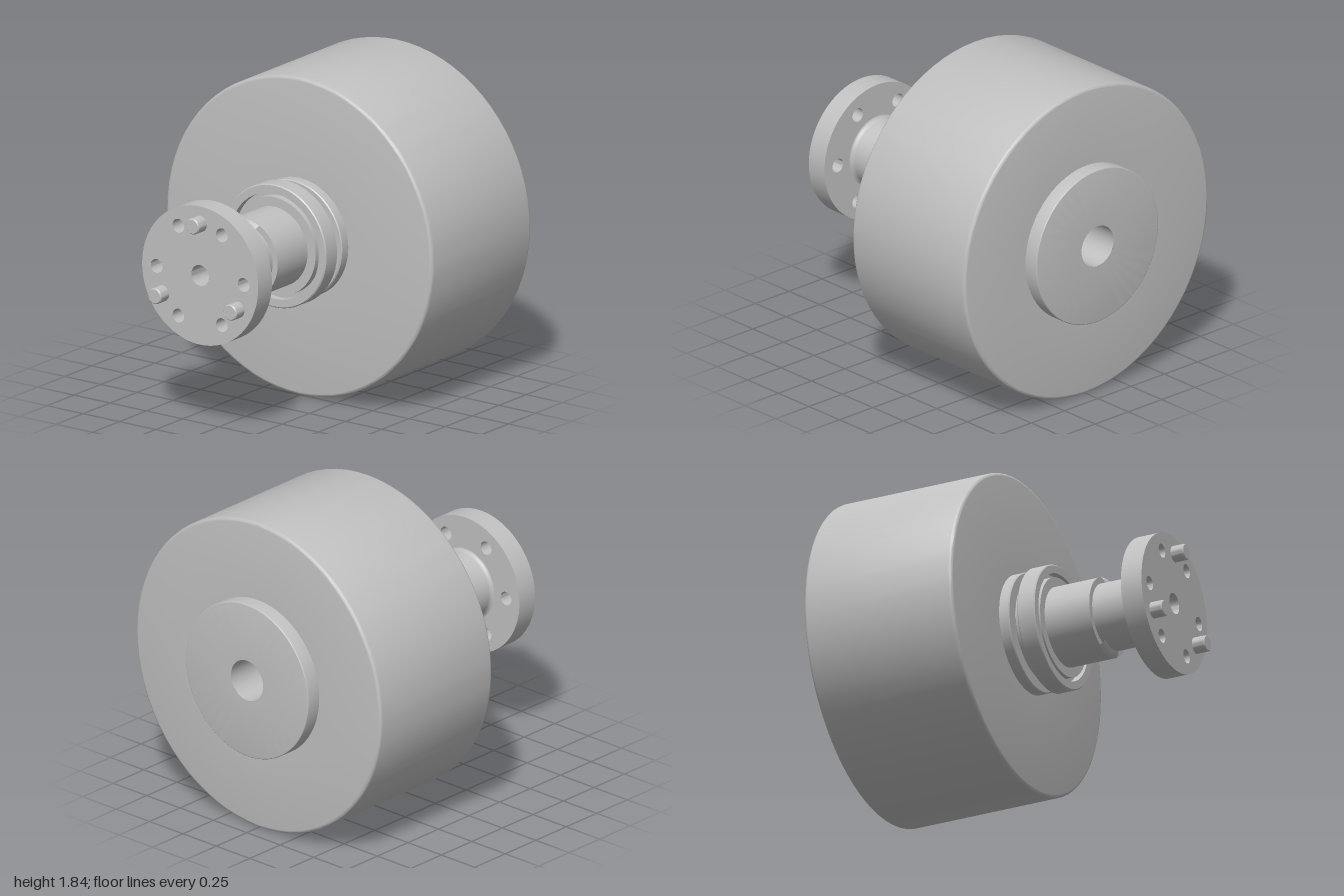
import * as THREE from 'three';
import { toCreasedNormals } from 'three/addons/utils/BufferGeometryUtils.js';

const SEG = 72;

export function createModel() {
  const model = new THREE.Group();
  model.name = 'rollerWithFlangedShaft';
  const axle = new THREE.Group();
  axle.name = 'axle';
  axle.position.y = 0.919;
  model.add(axle);

  const steel = new THREE.MeshStandardMaterial({ color: 0xc0c0c0 });
  steel.name = 'grey steel';
  const steelOpen = new THREE.MeshStandardMaterial({ color: 0xc0c0c0, side: THREE.DoubleSide });
  steelOpen.name = 'grey steel';

  const add = (name, geometry, material = steel) => {
    const mesh = new THREE.Mesh(geometry, material);
    mesh.name = name;
    axle.add(mesh);
    return mesh;
  };

  // Profile points are [radius, z]; outer faces run from back to front
  const turned = (profile, start = 0, sweep = Math.PI * 2, seg = SEG) => {
    const pts = profile.map(([r, z]) => new THREE.Vector2(r, z));
    const geo = new THREE.LatheGeometry(pts, seg, start, sweep);
    geo.rotateX(Math.PI / 2);
    return toCreasedNormals(geo, 0.5);
  };

  // Quarter-circle corner points about (r, z), from angle a to a + 90 degrees
  const corner = (r, z, rad, a, steps = 4) => Array.from({ length: steps + 1 }, (_, i) => {
    const t = a + (i / steps) * Math.PI / 2;
    return [r + rad * Math.cos(t), z + rad * Math.sin(t)];
  });

  // Large drum with rounded rims and a raised back hub
  add('drum', turned([
    [0.12, -0.998], ...corner(0.452, -0.992, 0.006, -Math.PI / 2), [0.458, -0.908],
    ...corner(0.898, -0.888, 0.02, -Math.PI / 2).map(([r, z]) => [r, z]),
    ...corner(0.898, -0.01, 0.02, 0),
    [0.3, 0.01],
  ]));

  // Stepped bore right through
  add('bore', turned([[0.06, 0.922], [0.06, 0], [0.12, 0], [0.12, -0.998]], 0, Math.PI * 2, 40));

  // Collars, grooves and clamp ring with an annular recess
  add('collars', turned([
    [0.335, 0.005], [0.341, 0.011], [0.341, 0.066], [0.335, 0.072],
    [0.265, 0.072], [0.265, 0.08], [0.28, 0.08], [0.286, 0.085], [0.286, 0.116], [0.28, 0.121],
    [0.265, 0.121], [0.265, 0.128], [0.349, 0.128], [0.355, 0.134], [0.355, 0.23], [0.349, 0.236],
    [0.305, 0.236], [0.305, 0.19], [0.283, 0.19], [0.283, 0.236], [0.22, 0.236],
  ]));

  // Sleeve and neck, with a fillet into the flange
  add('shaft', turned([
    [0.228, 0.23], [0.228, 0.513], [0.193, 0.513], [0.193, 0.77],
    [0.195, 0.78], [0.2, 0.789], [0.208, 0.795], [0.218, 0.798],
  ]));

  // Curved lugs above and below the neck
  for (const [name, angle] of [['topLug', Math.PI], ['bottomLug', 0]]) {
    add(name, turned([
      [0.228, 0.512], [0.222, 0.522], [0.212, 0.531], [0.192, 0.537],
    ], angle - 0.45, 0.9, 12), steelOpen);
  }

  // Front flange with six bolt holes and the bore
  const disc = new THREE.Shape().absarc(0, 0, 0.4, 0, Math.PI * 2, false);
  disc.holes.push(new THREE.Path().absarc(0, 0, 0.06, 0, Math.PI * 2, true));
  for (let i = 0; i < 6; i++) {
    const a = i * Math.PI / 3;
    disc.holes.push(new THREE.Path().absarc(0.3 * Math.cos(a), 0.3 * Math.sin(a), 0.04, 0, Math.PI * 2, true));
  }
  const flange = new THREE.ExtrudeGeometry(disc, { depth: 0.128, bevelEnabled: false, curveSegments: 40 });
  flange.translate(0, 0, 0.796);
  add('flange', toCreasedNormals(flange, 0.5));

  // Three drive pins with chamfered tips
  for (let i = 0; i < 3; i++) {
    const a = Math.PI / 2 + i * Math.PI * 2 / 3;
    const pin = add('drivePin', turned([
      [0.046, 0.915], [0.046, 0.993], [0.04, 1], [0, 1],
    ], 0, Math.PI * 2, 28));
    pin.position.set(0.3 * Math.cos(a), 0.3 * Math.sin(a), 0);
  }

  return model;
}
